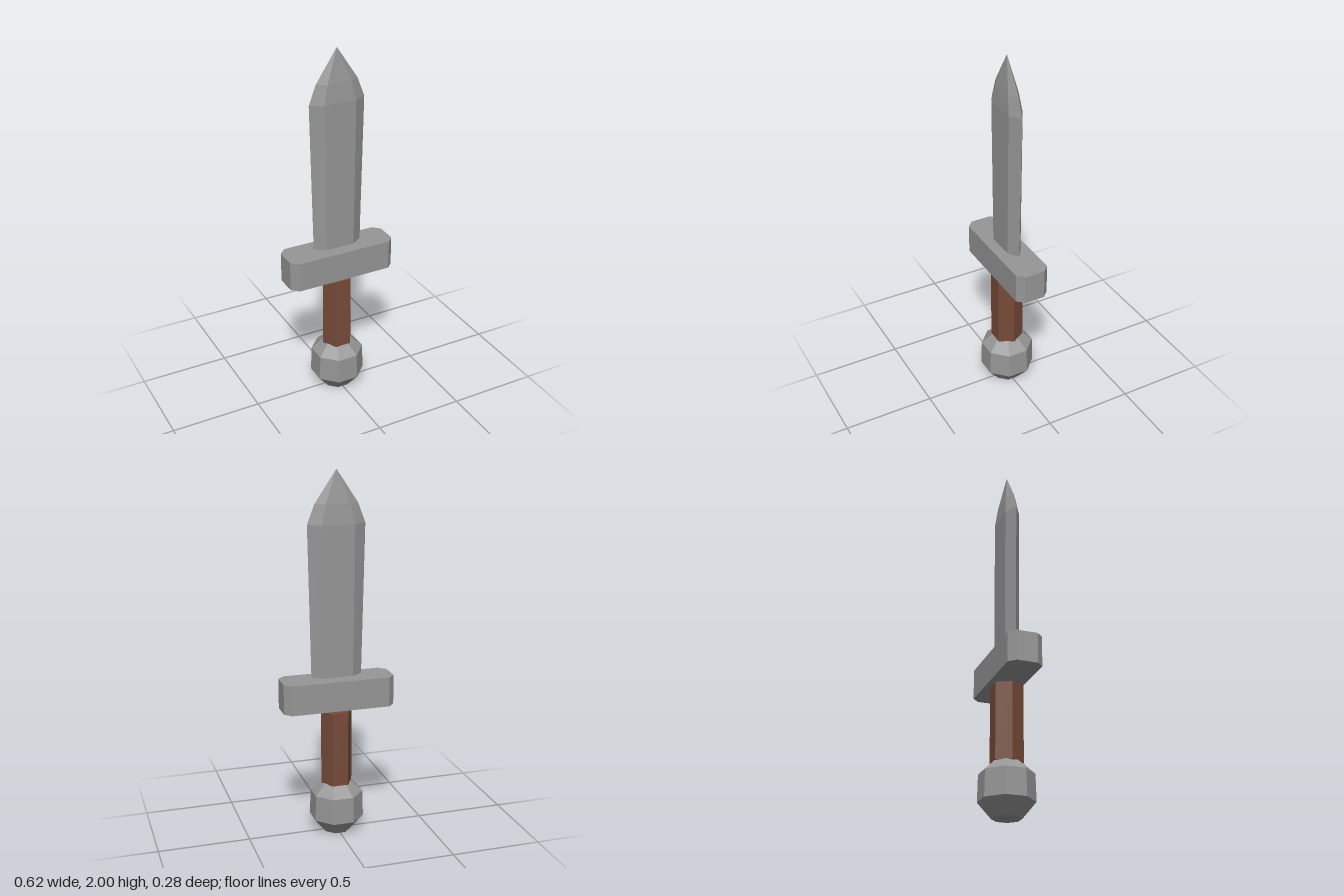
import * as THREE from 'three';

const steel = new THREE.MeshStandardMaterial({ color: 0x969696, flatShading: true });
steel.name = 'steel';
const leather = new THREE.MeshStandardMaterial({ color: 0x764b38, flatShading: true });
leather.name = 'brownGrip';

function part(name, geometry, material) {
  const mesh = new THREE.Mesh(geometry, material);
  mesh.name = name;
  return mesh;
}

// Joins equal-sided rings of points, listed bottom to top, and caps both ends
function loft(rings) {
  const pos = [];
  const n = rings[0].length;
  const tri = (...corners) => corners.forEach((c) => pos.push(...c));
  for (let r = 0; r < rings.length - 1; r++) {
    for (let i = 0; i < n; i++) {
      const j = (i + 1) % n;
      const [a, b, c, d] = [rings[r][i], rings[r][j], rings[r + 1][j], rings[r + 1][i]];
      tri(a, b, c);
      tri(a, c, d);
    }
  }
  const first = rings[0], last = rings[rings.length - 1];
  for (let i = 1; i < n - 1; i++) {
    tri(first[0], first[i + 1], first[i]);
    tri(last[0], last[i], last[i + 1]);
  }
  const g = new THREE.BufferGeometry();
  g.setAttribute('position', new THREE.Float32BufferAttribute(pos, 3));
  g.computeVertexNormals();
  return g;
}

// Six-sided blade section: w = half width, f = half width of the flat, t = half thickness
const bladeRing = (y, w, f, t) => [
  [w, y, 0], [f, y, -t], [-f, y, -t], [-w, y, 0], [-f, y, t], [f, y, t],
];

// Eight-sided ring with flat sides facing the axes; a = distance to each side
function octagonRing(y, a) {
  const r = a / Math.cos(Math.PI / 8);
  return Array.from({ length: 8 }, (_, i) => {
    const angle = -(i + 0.5) * Math.PI / 4;
    return [r * Math.cos(angle), y, r * Math.sin(angle)];
  });
}

// Rectangle with cut corners
const guardRing = (y, x, z, c) => [
  [x, y, z - c], [x, y, c - z], [x - c, y, -z], [c - x, y, -z],
  [-x, y, c - z], [-x, y, z - c], [c - x, y, z], [x - c, y, z],
];

export function createModel() {
  const dagger = new THREE.Group();
  dagger.name = 'dagger';

  // Blade widens upward, then narrows to a point
  dagger.add(part('blade', loft([
    bladeRing(0.9, 0.14, 0.08, 0.04),
    bladeRing(1.72, 0.158, 0.09, 0.04),
    bladeRing(1.825, 0.118, 0.066, 0.029),
    bladeRing(2, 0.0005, 0.0003, 0.0002),
  ]), steel));

  // Cross guard
  dagger.add(part('guard', loft([
    guardRing(0.725, 0.308, 0.094, 0.037),
    guardRing(0.89, 0.308, 0.094, 0.037),
  ]), steel));

  // Six-sided grip
  const grip = new THREE.CylinderGeometry(0.087, 0.087, 0.42, 6).rotateY(Math.PI / 2);
  grip.scale(1, 1, 1.02).translate(0, 0.495, 0);
  dagger.add(part('grip', grip, leather));

  // Faceted pommel
  dagger.add(part('pommel', loft([
    octagonRing(0, 0.072),
    octagonRing(0.085, 0.138),
    octagonRing(0.23, 0.134),
    octagonRing(0.288, 0.075),
  ]), steel));

  return dagger;
}
